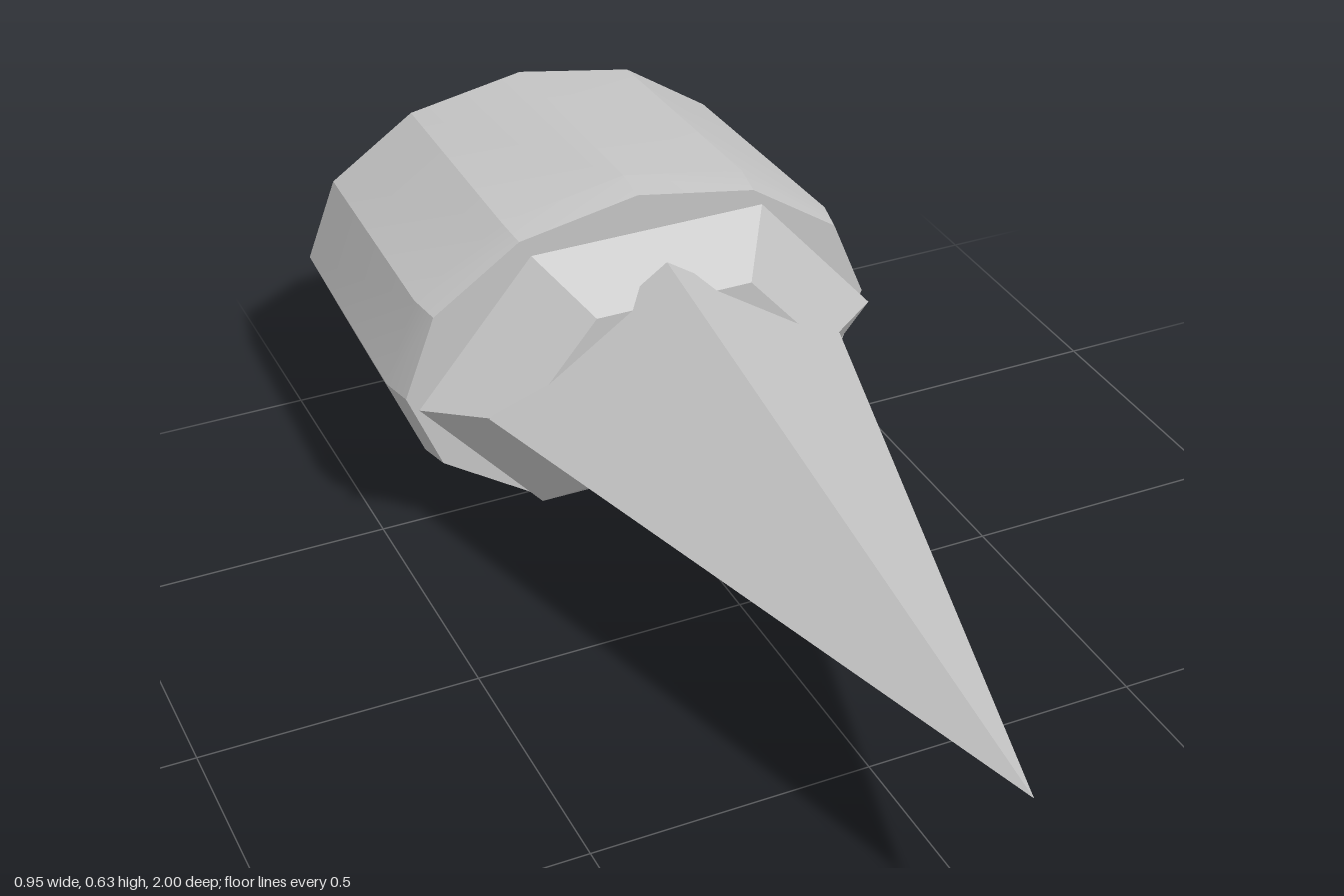
import * as THREE from 'three';
import { toCreasedNormals } from 'three/addons/utils/BufferGeometryUtils.js';

const CENTRE_Y = 0.318;

// Faceted solid turned around the z axis and squashed into an ellipse.
// profile: [radius, z] pairs from back to front; squash: height / width.
function facetedSolid(name, material, profile, sides, squash, crease) {
  const points = profile.map(([r, z]) => new THREE.Vector2(r, z));
  const geometry = new THREE.LatheGeometry(points, sides, Math.PI / 2);
  geometry.rotateX(Math.PI / 2);
  geometry.scale(1, squash, 1);
  geometry.translate(0, CENTRE_Y, 0);
  const mesh = new THREE.Mesh(toCreasedNormals(geometry, crease), material);
  mesh.name = name;
  return mesh;
}

export function createModel() {
  const grey = new THREE.MeshStandardMaterial({ color: 0xc4c4c4 });
  grey.name = 'plain grey';

  const group = new THREE.Group();
  group.name = 'spikedBarrel';

  // Twelve-sided body with a slight taper and a bevelled front rim
  group.add(facetedSolid('barrel', grey,
    [[0, -1], [0.453, -1], [0.473, -0.49], [0.459, -0.425], [0, -0.425]],
    12, 0.67, 0.37));

  // Six-sided collar with sloping front facets and a flat front
  group.add(facetedSolid('collar', grey,
    [[0, -0.46], [0.37, -0.46], [0.45, -0.38], [0.3, -0.267], [0, -0.267]],
    6, 0.667, 0.01));

  // Long four-sided spike
  group.add(facetedSolid('spike', grey,
    [[0, -0.3], [0.348, -0.3], [0, 1]],
    4, 0.673, 0.01));

  return group;
}
